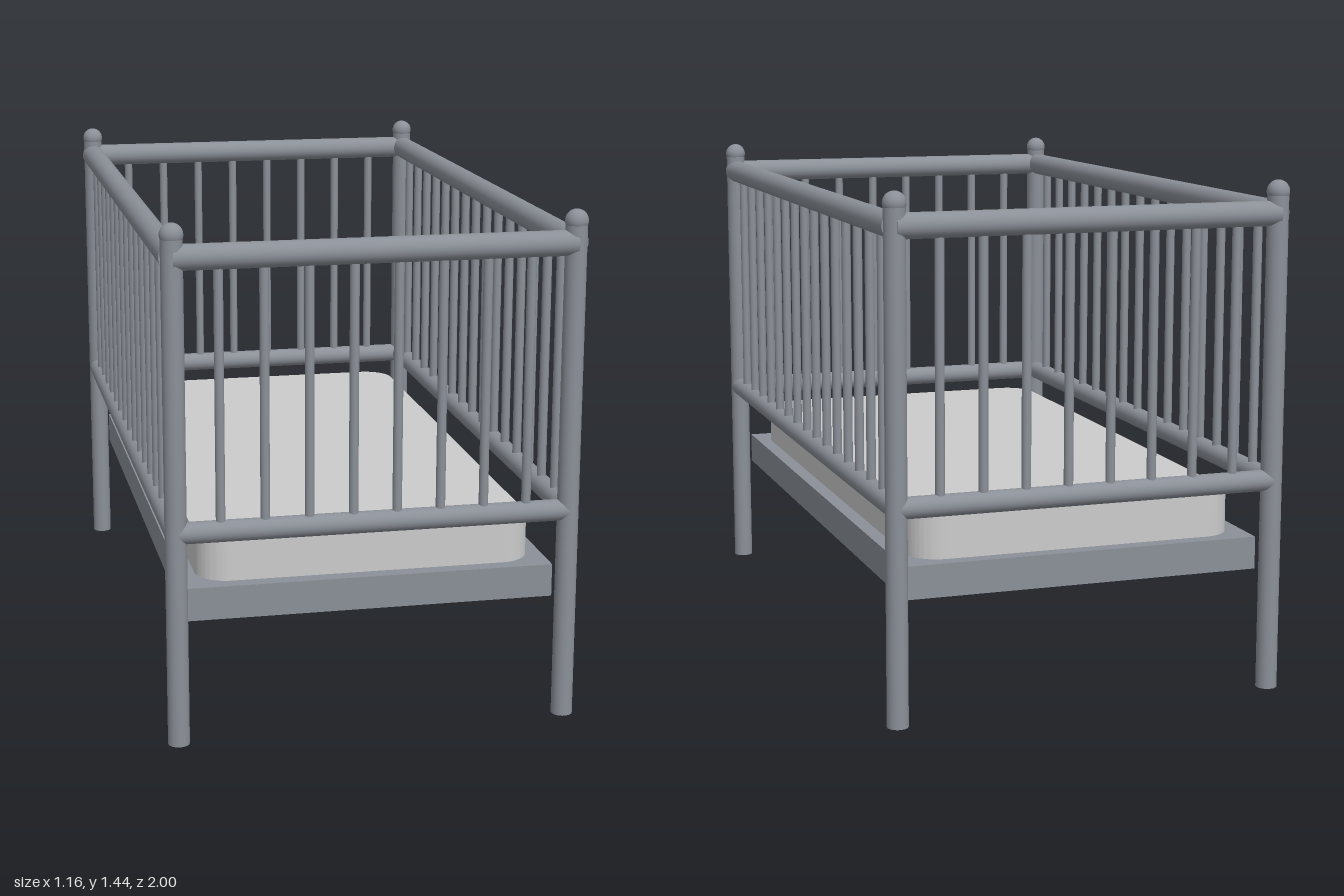
import * as THREE from 'three';
import { toCreasedNormals } from 'three/addons/utils/BufferGeometryUtils.js';

const PX = 0.547, PZ = 0.965;            // post centres
const TOP_Y = 1.35, LOW_Y = 0.602;       // rail heights
const frameMat = new THREE.MeshStandardMaterial({ color: 0x8b9098 });
const mattressMat = new THREE.MeshStandardMaterial({ color: 0xcccccc });

function add(parent, name, geometry, material, x, y, z) {
  const mesh = new THREE.Mesh(geometry, material);
  mesh.name = name;
  mesh.position.set(x, y, z);
  parent.add(mesh);
  return mesh;
}

// One railing panel along x: two round rails joined by evenly spaced spindles
function railing(name, length, count) {
  const panel = new THREE.Group();
  panel.name = name;
  const rails = [['topRail', TOP_Y, 0.035], ['lowerRail', LOW_Y, 0.03]];
  for (const [railName, y, r] of rails) {
    const geo = new THREE.CylinderGeometry(r, r, length, 32).rotateZ(Math.PI / 2);
    add(panel, railName, geo, frameMat, 0, y, 0);
  }
  const spindleGeo = new THREE.CylinderGeometry(0.013, 0.013, TOP_Y - LOW_Y, 20);
  for (let i = 1; i <= count; i++) {
    const x = -length / 2 + (i * length) / (count + 1);
    add(panel, 'spindle', spindleGeo, frameMat, x, (TOP_Y + LOW_Y) / 2, 0);
  }
  return panel;
}

// Flat slab with rounded plan corners, rising from y = 0
function roundedSlab(hx, hz, r, height) {
  const s = new THREE.Shape();
  s.absarc(hx - r, hz - r, r, 0, Math.PI / 2);
  s.absarc(-hx + r, hz - r, r, Math.PI / 2, Math.PI);
  s.absarc(-hx + r, -hz + r, r, Math.PI, Math.PI * 1.5);
  s.absarc(hx - r, -hz + r, r, Math.PI * 1.5, Math.PI * 2);
  s.closePath();
  const geo = new THREE.ExtrudeGeometry(s, { depth: height, bevelEnabled: false, curveSegments: 12 });
  return toCreasedNormals(geo.rotateX(-Math.PI / 2), Math.PI / 5);
}

export function createModel() {
  const crib = new THREE.Group();
  crib.name = 'crib';

  // Corner posts with rounded finials
  const postGeo = new THREE.CylinderGeometry(0.03, 0.03, 1.41, 32);
  const finialGeo = new THREE.SphereGeometry(0.032, 32, 20);
  for (const sx of [-1, 1]) {
    for (const sz of [-1, 1]) {
      add(crib, 'post', postGeo, frameMat, sx * PX, 0.705, sz * PZ);
      add(crib, 'finial', finialGeo, frameMat, sx * PX, 1.41, sz * PZ);
    }
  }

  // End and side railings
  for (const s of [-1, 1]) {
    const end = railing(s > 0 ? 'frontRailing' : 'backRailing', PX * 2, 8);
    end.position.z = s * PZ;
    const side = railing(s > 0 ? 'leftRailing' : 'rightRailing', PZ * 2, 15);
    side.rotation.y = Math.PI / 2;
    side.position.x = s * PX;
    crib.add(end, side);
  }

  // Base and mattress
  add(crib, 'base', new THREE.BoxGeometry(1.034, 0.093, 1.87), frameMat, 0, 0.3865, 0);
  add(crib, 'mattress', roundedSlab(0.475, 0.892, 0.09, 0.12), mattressMat, 0, 0.433, 0);

  return crib;
}
